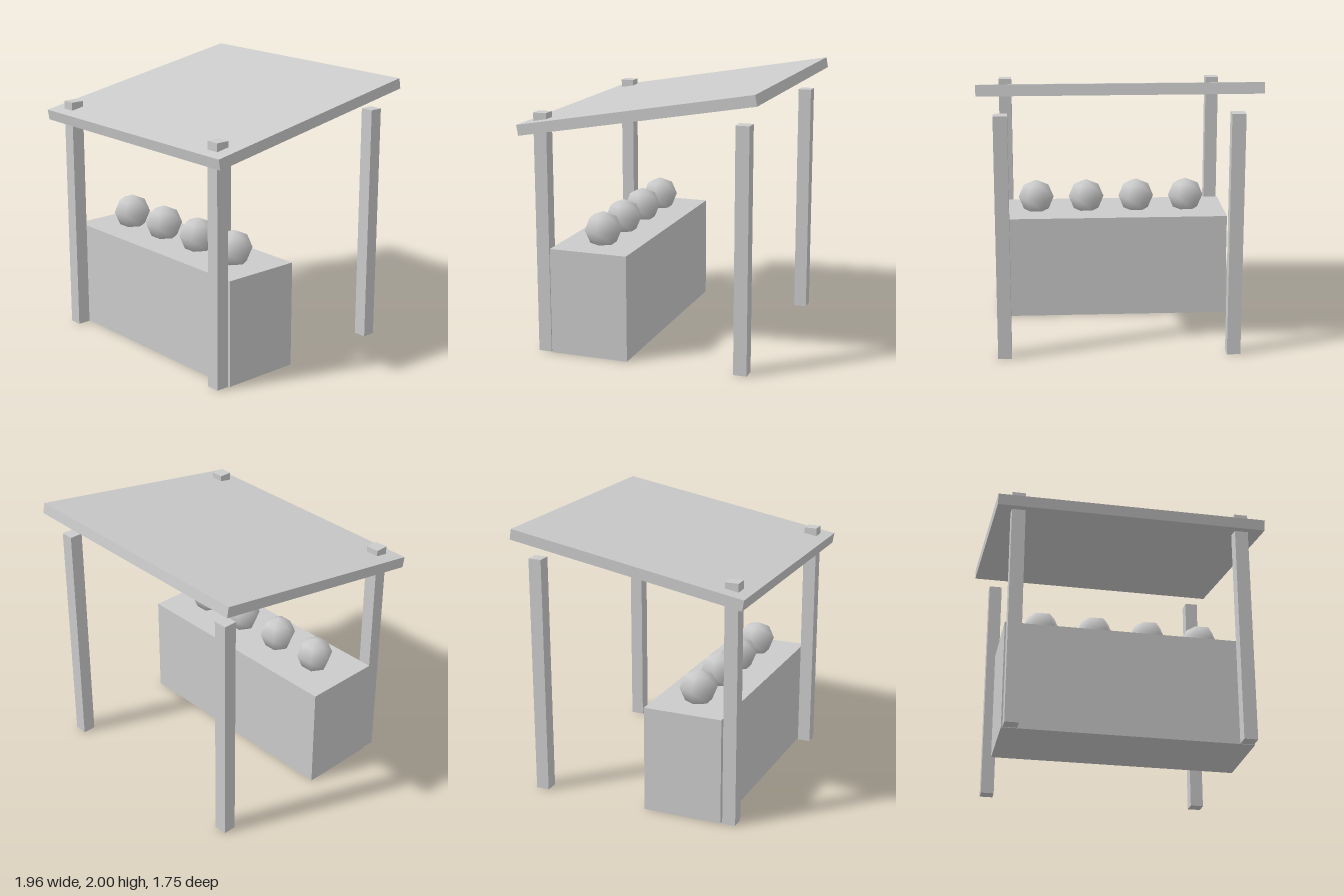
import * as THREE from 'three';

export function createModel() {
  const stall = new THREE.Group();
  stall.name = 'marketStall';
  const material = new THREE.MeshStandardMaterial({ color: 0xcccccc });

  const add = (name, geometry, x, y, z) => {
    const mesh = new THREE.Mesh(geometry, material);
    mesh.name = name;
    mesh.position.set(x, y, z);
    stall.add(mesh);
    return mesh;
  };

  // Counter block
  add('counter', new THREE.BoxGeometry(1.764, 0.784, 0.588), 0, 0.392, 0.392);

  // Four corner posts; the front pair pokes through the roof
  const postGeometry = new THREE.BoxGeometry(0.098, 1.768, 0.098);
  for (const [end, z] of [['front', 0.745], ['back', -0.745]]) {
    for (const [side, x] of [['Left', 0.823], ['Right', -0.823]]) {
      add(`${end}${side}Post`, postGeometry, x, 0.884, z);
    }
  }

  // Flat roof, sloping down to the front
  const roof = add('roof', new THREE.BoxGeometry(1.96, 0.0784, 1.764), 0, 1.808, 0);
  roof.rotation.x = THREE.MathUtils.degToRad(10);

  // Row of round goods, slightly sunk into the counter
  const goodsGeometry = new THREE.SphereGeometry(0.137, 6, 4);
  for (let i = 0; i < 4; i++) {
    add(`goods${i + 1}`, goodsGeometry, -0.588 + i * 0.392, 0.883, 0.392);
  }

  return stall;
}
